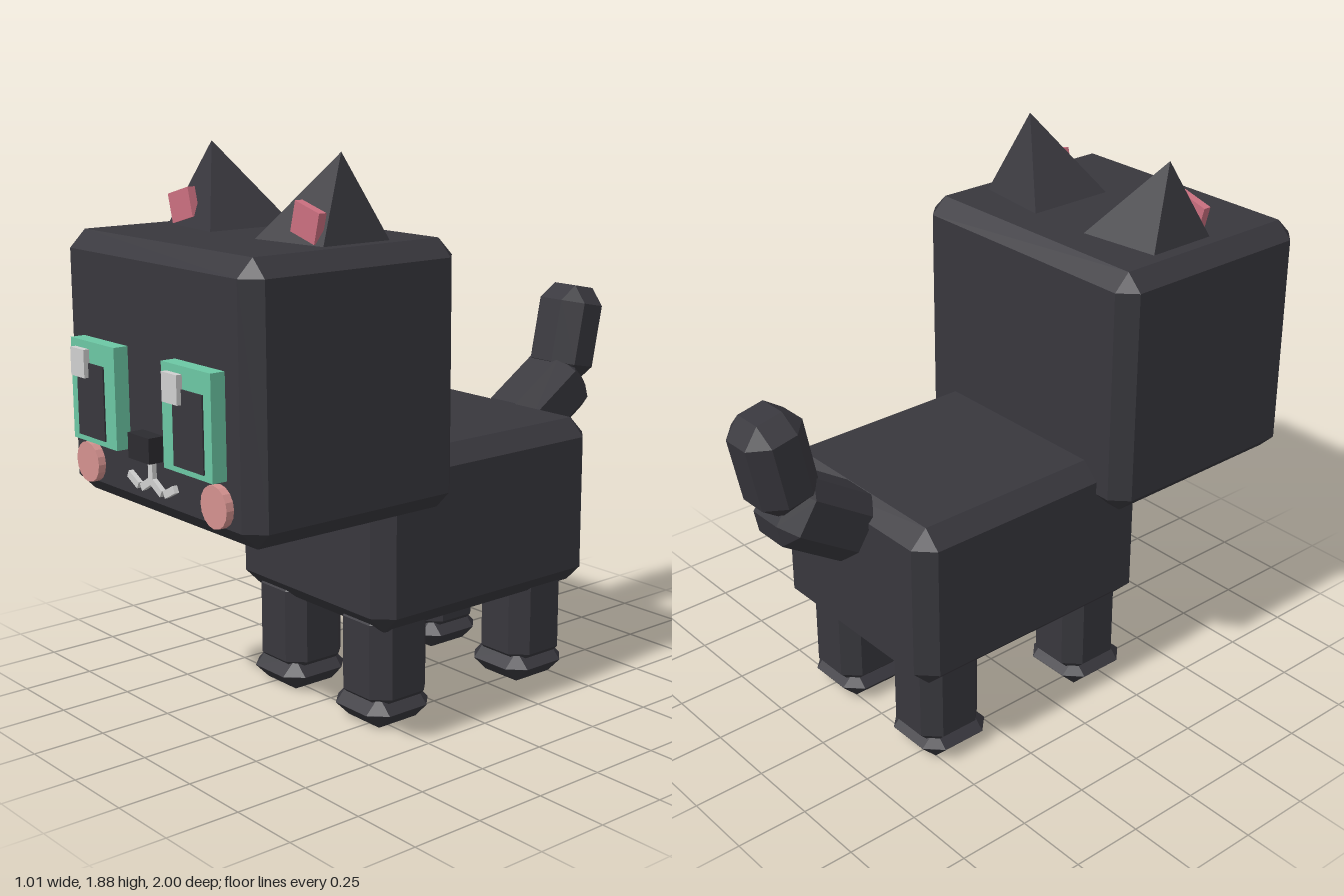
import * as THREE from 'three';
import { ConvexGeometry } from 'three/addons/geometries/ConvexGeometry.js';

const mat = (name, color) => new THREE.MeshStandardMaterial({ name, color, flatShading: true });

// Box with all edges cut at 45 degrees, centred on its origin
function chamferBox(w, h, d, c) {
  const [x, y, z] = [w / 2, h / 2, d / 2];
  const pts = [];
  for (const sx of [-1, 1]) for (const sy of [-1, 1]) for (const sz of [-1, 1]) {
    pts.push(new THREE.Vector3(sx * x, sy * (y - c), sz * (z - c)));
    pts.push(new THREE.Vector3(sx * (x - c), sy * y, sz * (z - c)));
    pts.push(new THREE.Vector3(sx * (x - c), sy * (y - c), sz * z));
  }
  return new ConvexGeometry(pts);
}

export function createModel() {
  const model = new THREE.Group();
  model.name = 'blockCat';
  const fur = mat('charcoalFur', 0x38373d);
  const noseDark = mat('noseDark', 0x2c2b30);
  const green = mat('eyeGreen', 0x6cc7a4);
  const white = mat('paleGrey', 0xd0d0d0);
  const pink = mat('earPink', 0xcb7080);
  const blush = mat('cheekBlush', 0xd4928f);

  const add = (name, geometry, material, x, y, z, rx = 0, rz = 0) => {
    const m = new THREE.Mesh(geometry, material);
    m.name = name;
    m.position.set(x, y, z);
    m.rotation.set(rx, 0, rz);
    model.add(m);
    return m;
  };
  const box = (w, h, d) => new THREE.BoxGeometry(w, h, d);

  // Head and body
  add('head', chamferBox(1.01, 0.85, 0.81, 0.056), fur, 0, 1.19, 0.525);
  add('body', chamferBox(0.79, 0.585, 0.965, 0.06), fur, 0, 0.6325, -0.1275);

  // Legs and feet
  const legGeo = chamferBox(0.24, 0.36, 0.244, 0.053);
  const footGeo = chamferBox(0.266, 0.11, 0.268, 0.0545);
  for (const s of [-1, 1]) {
    const side = s > 0 ? 'Left' : 'Right';
    for (const [end, z] of [['front', 0.2], ['back', -0.432]]) {
      add(`${end}${side}Leg`, legGeo, fur, s * 0.224, 0.23, z);
      add(`${end}${side}Foot`, footGeo, fur, s * 0.223, 0.055, z + 0.01);
    }
  }

  // Tail, two bent segments
  const deg = Math.PI / 180;
  add('tailBase', chamferBox(0.238, 0.37, 0.236, 0.056), fur, 0, 0.898, -0.727, -57 * deg);
  add('tailTip', chamferBox(0.222, 0.345, 0.214, 0.06), fur, 0, 1.142, -0.873, -11.7 * deg);

  for (const s of [-1, 1]) {
    const side = s > 0 ? 'left' : 'right';

    // Ear, a pyramid leaning outwards
    const earPoints = [
      [0.407, 1.605, 0.328], [0.116, 1.613, 0.296], [0.116, 1.613, 0.624],
      [0.407, 1.605, 0.592], [0.333, 1.88, 0.46],
    ].map(([x, y, z]) => new THREE.Vector3(s * x, y, z));
    add(`${side}Ear`, new ConvexGeometry(earPoints), fur, 0, 0, 0);
    add(`${side}InnerEar`, box(0.118, 0.097, 0.028), pink, s * 0.325, 1.68, 0.58, 0, -s * 15 * deg);

    // Eye: iris block, pupil and highlight
    add(`${side}Iris`, box(0.252, 0.323, 0.06), green, s * 0.256, 1.127, 0.95);
    add(`${side}Pupil`, box(0.153, 0.236, 0.03), fur, s * 0.267, 1.102, 0.97);
    add(`${side}Highlight`, box(0.079, 0.09, 0.03), white, s > 0 ? 0.199 : -0.314, 1.219, 0.985);

    // Round cheek
    add(`${side}Cheek`, new THREE.CylinderGeometry(0.066, 0.066, 0.04, 16), blush,
      s * 0.348, 0.885, 0.936, Math.PI / 2);
  }

  // Nose
  add('nose', box(0.115, 0.08, 0.07), noseDark, 0, 1.0, 0.95);

  // Mouth, short bars between pairs of points
  const bar = (name, x0, y0, x1, y1) => add(name,
    box(Math.hypot(x1 - x0, y1 - y0), 0.024, 0.03), white,
    (x0 + x1) / 2, (y0 + y1) / 2, 0.931, 0, Math.atan2(y1 - y0, x1 - x0));
  bar('mouthCentre', 0, 0.965, 0, 0.885);
  for (const s of [-1, 1]) {
    bar('mouthInner', 0, 0.892, s * 0.055, 0.86);
    bar('mouthOuter', s * 0.072, 0.862, s * 0.127, 0.89);
  }
  return model;
}
